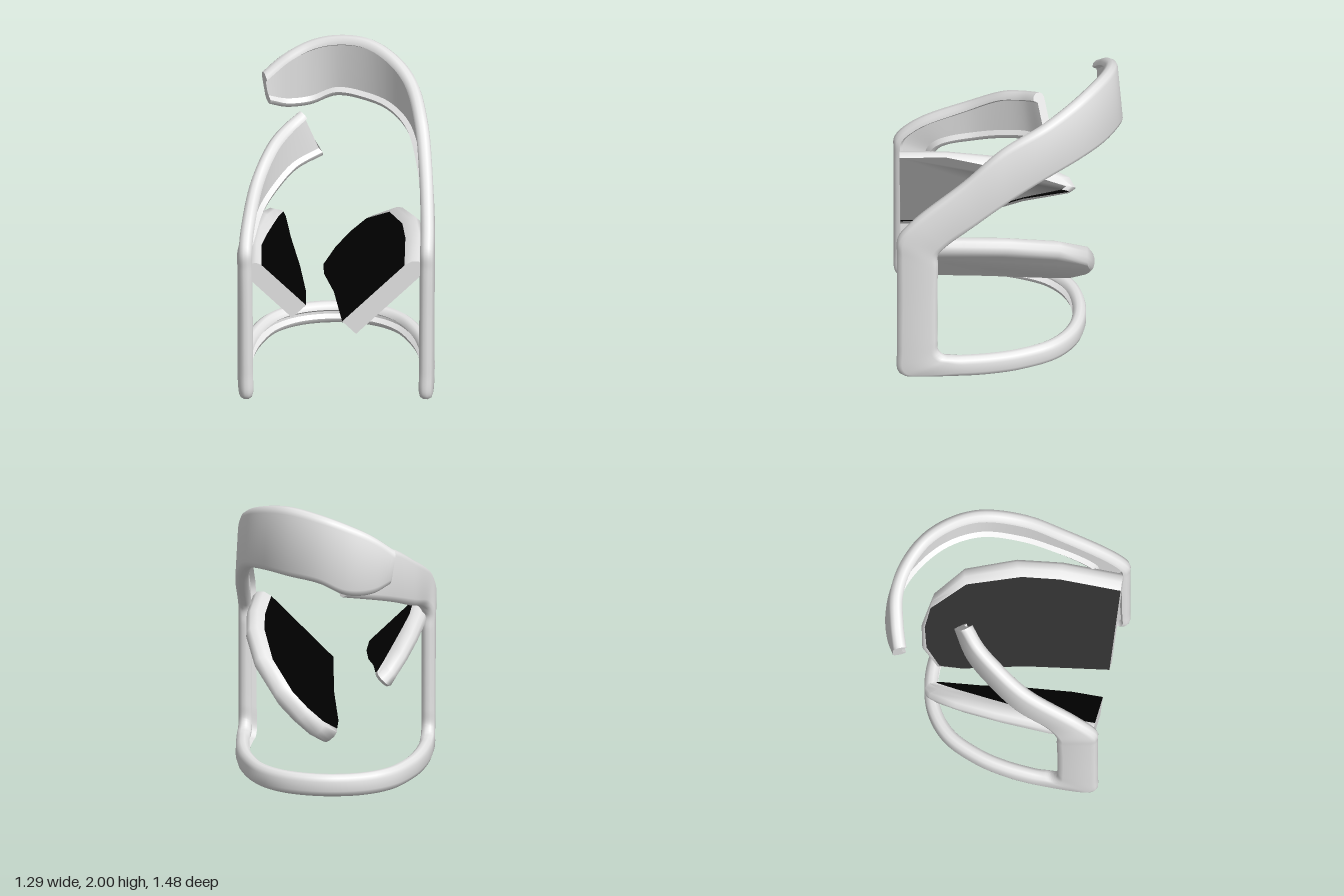
import * as THREE from 'three';
import { toCreasedNormals } from 'three/addons/utils/BufferGeometryUtils.js';

const shellGrey = new THREE.MeshStandardMaterial({ color: 0xe6e6e6 });
shellGrey.name = 'shell grey';
const seatBlack = new THREE.MeshStandardMaterial({ color: 0x000000 });
seatBlack.name = 'seat black';

// Frame stations: outer edge (x, y, z), inner edge (x, y, z)
const rightArm = [
  [-0.475, 1.74, -0.59, -0.44, 1.51, -0.6],
  [-0.33, 1.85, -0.635, -0.33, 1.46, -0.66],
  [-0.17, 1.93, -0.665, -0.17, 1.46, -0.7],
  [0, 1.98, -0.64, 0, 1.53, -0.69],
  [0.2, 2.0, -0.55, 0.2, 1.54, -0.59],
  [0.36, 1.96, -0.41, 0.37, 1.53, -0.44],
  [0.48, 1.88, -0.23, 0.5, 1.47, -0.23],
  [0.55, 1.73, 0.05, 0.57, 1.32, 0.03],
  [0.58, 1.5, 0.3, 0.595, 1.16, 0.24],
  [0.592, 1.21, 0.63, 0.6, 1.02, 0.41],
];
// Leg from top to foot, mirrored for the other side
const leg = [
  [0.588, 1.07, 0.733, 0.6, 0.95, 0.466],
  [0.586, 0.95, 0.738, 0.6, 0.85, 0.468],
  [0.582, 0.6, 0.738, 0.6, 0.6, 0.472],
  [0.58, 0.2, 0.738, 0.6, 0.3, 0.472],
  [0.578, 0.04, 0.733, 0.6, 0.2, 0.468],
  [0.582, 0.004, 0.7, 0.6, 0.157, 0.43],
  [0.59, 0, 0.6, 0.6, 0.15, 0.38],
];
const basePlan = [
  [0.595, 0.3], [0.575, 0.12], [0.53, -0.06], [0.42, -0.28], [0.25, -0.41],
  [0, -0.46],
  [-0.25, -0.41], [-0.42, -0.28], [-0.53, -0.06], [-0.575, 0.12], [-0.595, 0.3],
];
const leftArm = [
  [-0.575, 1.21, 0.6, -0.57, 1.02, 0.41],
  [-0.51, 1.4, 0.25, -0.51, 1.1, 0.2],
  [-0.41, 1.54, 0.03, -0.41, 1.18, 0.02],
  [-0.32, 1.6, -0.1, -0.28, 1.25, -0.15],
  [-0.23, 1.65, -0.19, -0.1, 1.3, -0.265],
];

// Plank cross-section: round edges, flat outside, shallow channel inside.
// Each point: sign of the edge it hangs on, offset along the width, offset across
function plankProfile(r) {
  const points = [];
  const arc = (from, to, sign) => {
    for (let k = 0; k <= 5; k++) {
      const a = THREE.MathUtils.degToRad(from + ((to - from) * k) / 5);
      points.push([sign, r * Math.cos(a), r * Math.sin(a)]);
    }
  };
  arc(-90, 90, 1);
  points.push([1, -0.022, r - 0.03], [-1, 0.022, r - 0.03]);
  arc(90, 270, -1);
  return points;
}

// Sweeps the plank between an outer and an inner edge curve
function plankGeometry(stations, radius, steps) {
  const profile = plankProfile(radius), sides = profile.length;
  const curve = (k) => new THREE.CatmullRomCurve3(
    stations.map((s) => new THREE.Vector3(s[k], s[k + 1], s[k + 2])));
  const outer = curve(0), inner = curve(3);
  const pos = [], index = [];
  const centre = (t) => outer.getPoint(t).lerp(inner.getPoint(t), 0.5);
  for (let i = 0; i <= steps; i++) {
    const t = i / steps;
    const c = centre(t);
    const w = outer.getPoint(t).sub(inner.getPoint(t));
    const half = w.length() / 2;
    w.normalize();
    const tangent = centre(Math.min(1, t + 0.002)).sub(centre(Math.max(0, t - 0.002)));
    const n = tangent.cross(w).normalize();
    for (const [sign, along, across] of profile) {
      const p = c.clone().addScaledVector(w, sign * (half - radius) + along).addScaledVector(n, across);
      pos.push(p.x, p.y, p.z);
    }
  }
  for (let i = 0; i < steps; i++) {
    for (let j = 0; j < sides; j++) {
      const a = i * sides + j, b = i * sides + ((j + 1) % sides);
      index.push(a, b, a + sides, b, b + sides, a + sides);
    }
  }
  // flat end caps
  const last = steps * sides;
  for (let j = 1; j < sides - 1; j++) {
    index.push(0, j + 1, j, last, last + j, last + j + 1);
  }
  const g = new THREE.BufferGeometry();
  g.setAttribute('position', new THREE.Float32BufferAttribute(pos, 3));
  g.setIndex(index);
  return toCreasedNormals(g, 0.8);
}

// Seat half: a 45 degree slab with a rounded rim, from a face and a rim outline
function seatHalf(name, side, baseY, face, rim, cutEdges) {
  const count = face.length;
  const rings = [[0.064, 0], [0.05, 0.65], [0.018, 1], [-0.018, 1], [-0.05, 0.65], [-0.064, 0]]
    .map(([h, k]) => face.map(([a, z], i) => {
      const s = a + (rim[i][0] - a) * k;
      const zz = z + (rim[i][1] - z) * k;
      const off = h * Math.SQRT1_2;
      return [side * (s - off), baseY + s + off, zz];
    }));
  const grey = [], black = [];
  const tri = (list, a, b, c) => list.push(...a, ...(side > 0 ? b : c), ...(side > 0 ? c : b));
  for (let r = 0; r < rings.length - 1; r++) {
    for (let i = 0; i < count; i++) {
      const j = (i + 1) % count;
      const list = i < cutEdges && r < 2 ? black : grey;
      tri(list, rings[r][i], rings[r][j], rings[r + 1][i]);
      tri(list, rings[r][j], rings[r + 1][j], rings[r + 1][i]);
    }
  }
  const top = rings[0], bottom = rings[rings.length - 1], hub = count - 1;
  for (let i = 0; i < count - 2; i++) {
    tri(black, top[hub], top[i + 1], top[i]);
    tri(grey, bottom[hub], bottom[i], bottom[i + 1]);
  }
  const group = new THREE.Group();
  group.name = name;
  for (const [part, list, mat] of [['Shell', grey, shellGrey], ['Panel', black, seatBlack]]) {
    const g = new THREE.BufferGeometry();
    g.setAttribute('position', new THREE.Float32BufferAttribute(list, 3));
    const mesh = new THREE.Mesh(toCreasedNormals(g, 1.1), mat);
    mesh.name = name + part;
    group.add(mesh);
  }
  return group;
}

export function createModel() {
  const model = new THREE.Group();
  model.name = 'sculpturalChair';

  // One continuous band: back, right leg, base loop, left leg, arm
  const base = basePlan.map(([x, z]) => [x, 0, z, x, 0.15, z]);
  const mirroredLeg = leg.map(([x, y, z, u, v, w]) => [-x, y, z, -u, v, w]).reverse();
  const stations = [...rightArm, ...leg, ...base, ...mirroredLeg, ...leftArm];
  const frame = new THREE.Mesh(plankGeometry(stations, 0.044, 312), shellGrey);
  frame.name = 'frameBand';
  model.add(frame);

  // Wide seat half on the left side, narrow one on the right side
  model.add(seatHalf('wideSeat', 1, 0.438,
    [[0.085, 0.7], [0.03, 0.15], [-0.035, -0.25], [-0.04, -0.4], [0.04, -0.5], [0.14, -0.53],
      [0.24, -0.51], [0.39, -0.3], [0.475, 0.05], [0.495, 0.3], [0.49, 0.7]],
    [[0.085, 0.7], [0.03, 0.15], [-0.04, -0.25], [-0.055, -0.42], [0.02, -0.53], [0.13, -0.555],
      [0.29, -0.505], [0.44, -0.33], [0.53, 0], [0.555, 0.3], [0.55, 0.7]], 2));
  model.add(seatHalf('narrowSeat', -1, 0.4,
    [[0.24, 0.7], [0.24, 0.5], [0.28, 0.2], [0.34, -0.1], [0.375, -0.35], [0.39, -0.38],
      [0.42, -0.25], [0.46, -0.03], [0.5, 0.2], [0.53, 0.4], [0.53, 0.7]],
    [[0.24, 0.7], [0.24, 0.5], [0.28, 0.2], [0.34, -0.1], [0.37, -0.4], [0.39, -0.44],
      [0.44, -0.4], [0.5, -0.22], [0.54, 0.05], [0.565, 0.4], [0.57, 0.7]], 4));
  return model;
}
